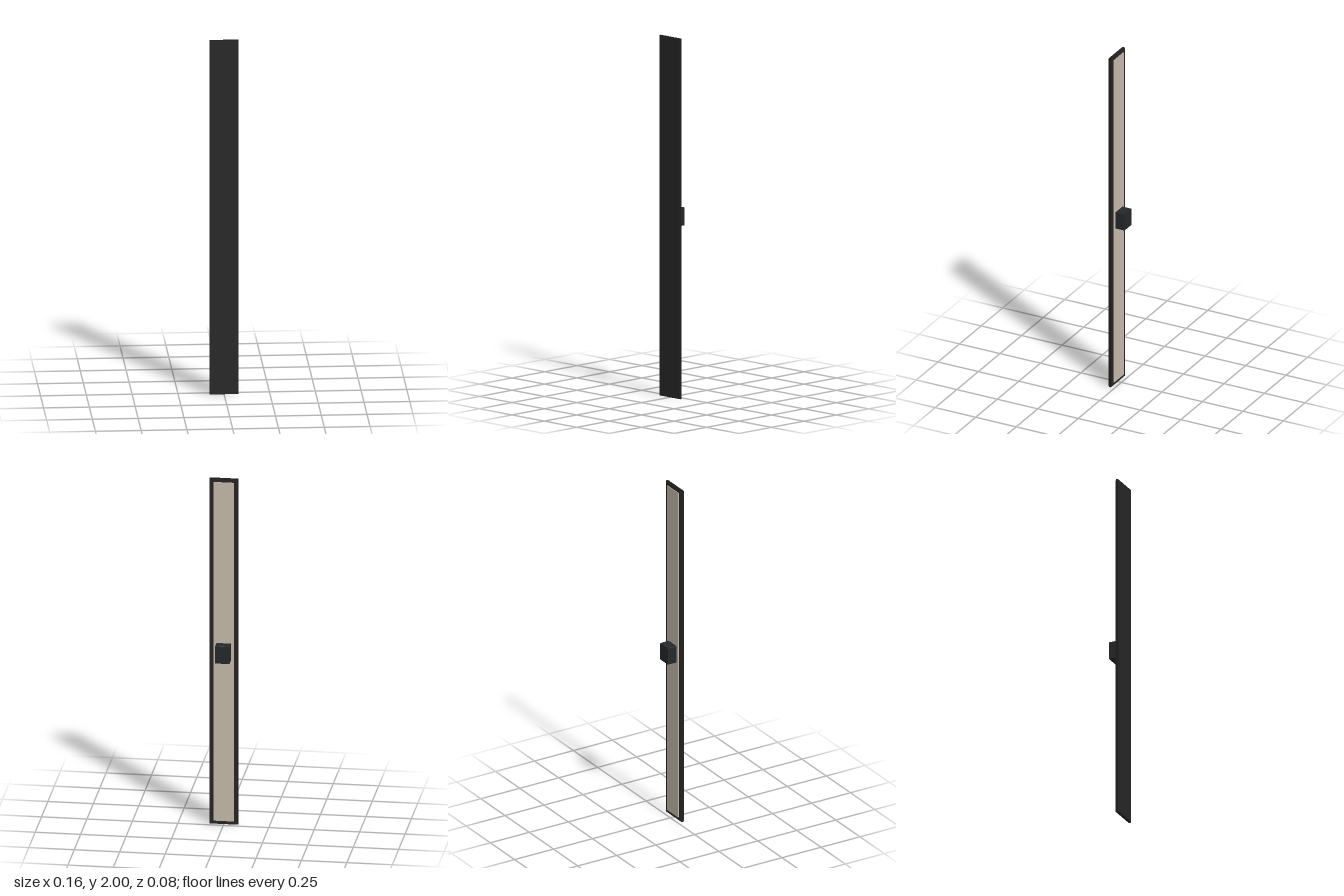
import * as THREE from 'three';
import { RoundedBoxGeometry } from 'three/addons/geometries/RoundedBoxGeometry.js';

export function createModel() {
  const model = new THREE.Group();
  const mat = (color) => new THREE.MeshStandardMaterial({ color });
  const black = mat(0x262626), trim = mat(0x221e1a), backing = mat(0xc8bcac), blockMat = mat(0x25282a);

  const add = (name, geometry, material, x, y, z) => {
    const mesh = new THREE.Mesh(geometry, material);
    mesh.name = name;
    mesh.position.set(x, y, z);
    model.add(mesh);
  };

  // Long thin slab
  add('panel', new THREE.BoxGeometry(0.152, 1.992, 0.02), black, 0, 1, 0.0285);

  // Edge trim standing slightly proud of the slab on all four sides
  for (const s of [-1, 1]) {
    add(s > 0 ? 'leftTrim' : 'rightTrim', new THREE.BoxGeometry(0.008, 2, 0.011), trim, s * 0.076, 1, 0.0285);
    add(s > 0 ? 'topTrim' : 'bottomTrim', new THREE.BoxGeometry(0.152, 0.008, 0.011), trim, 0, 1 + s * 0.996, 0.0285);
  }

  // Pale backing sheet on the rear face
  add('backing', new THREE.BoxGeometry(0.114, 1.96, 0.004), backing, 0, 1, 0.0168);

  // Mounting block at mid height
  add('mountBlock', new RoundedBoxGeometry(0.08, 0.1, 0.0565, 2, 0.002), blockMat, 0, 1, -0.0128);

  return model;
}
